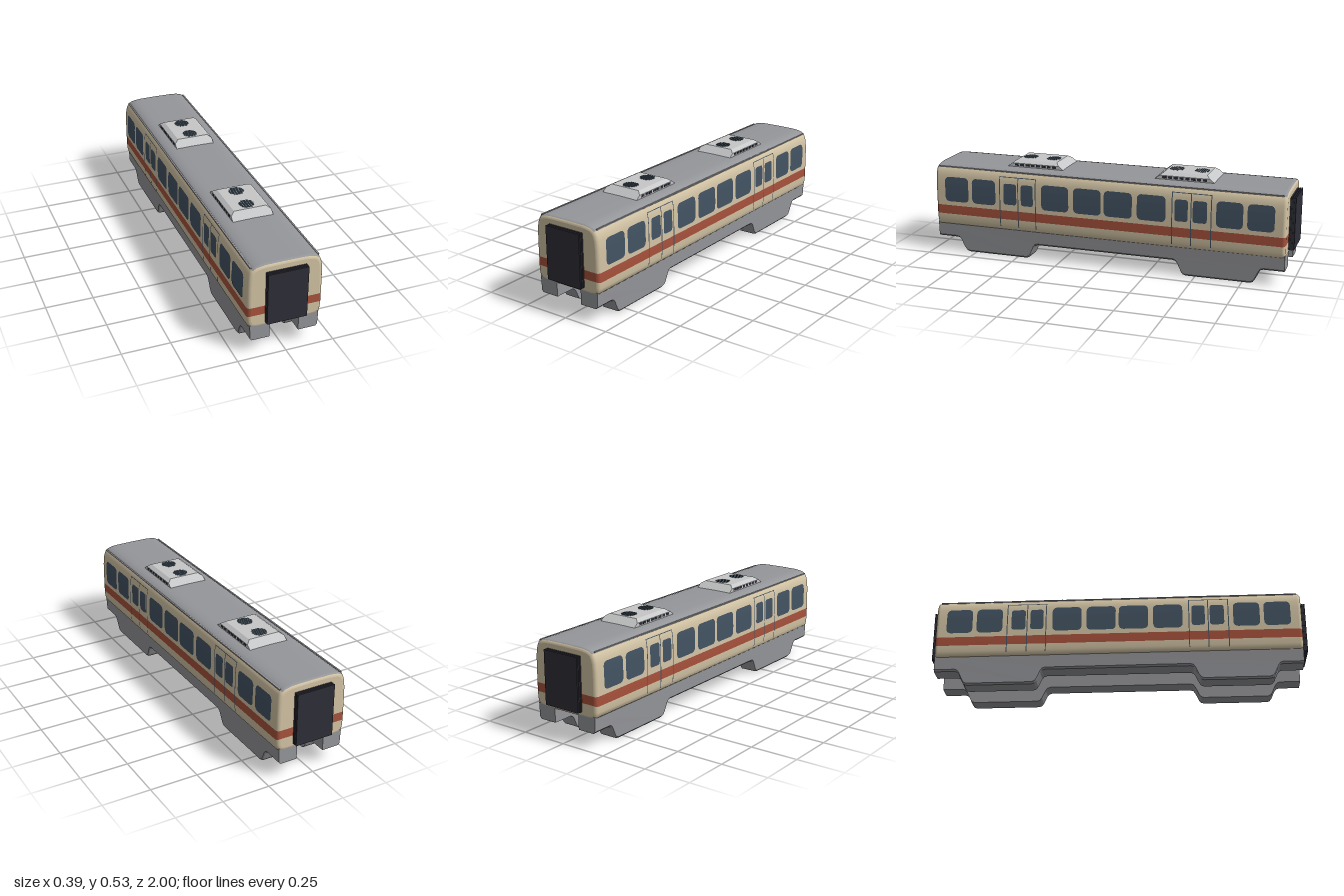
import * as THREE from 'three';

const material = (name, color) => {
  const m = new THREE.MeshStandardMaterial({ color });
  m.name = name;
  return m;
};

// Right half of the body cross-section, bottom centre to top centre
const PROFILE = [
  [0, 0.148], [0.15, 0.148], [0.172, 0.152], [0.185, 0.163], [0.19, 0.185], [0.192, 0.218],
  [0.192, 0.267], [0.192, 0.34], [0.191, 0.39], [0.188, 0.43], [0.182, 0.455], [0.172, 0.476],
  [0.155, 0.487], [0.13, 0.493], [0.1, 0.496], [0, 0.497],
];

// Half-width of the body at height y
function bodyX(y) {
  for (let i = 1; i < PROFILE.length; i++) {
    const [x0, y0] = PROFILE[i - 1], [x1, y1] = PROFILE[i];
    if (y <= y1 && y1 > y0) return x0 + (x1 - x0) * (y - y0) / (y1 - y0);
  }
  return 0;
}

// Body shell: cross-section lofted along z with rounded ends; groups 0 cream, 1 stripe, 2 roof
function bodyGeometry() {
  const loop = [...PROFILE, ...PROFILE.slice(1, -1).reverse().map(([x, y]) => [-x, y])];
  const r = 0.018, half = 0.97, rings = [];
  for (let k = 0; k <= 4; k++) {
    const a = (k / 4) * Math.PI / 2;
    rings.push([half - r + r * Math.sin(a), r * (1 - Math.cos(a))]);
  }
  const all = [...rings.map(([z, s]) => [-z, s]).reverse(), ...rings];
  const place = ([x, y], [z, s]) => {
    const d = (y - 0.3225) / 0.1745;
    return [x * (1 - s / 0.192), y - s * d ** 3, z];
  };
  const pos = [], faces = [[], [], []], n = loop.length;
  const band = y => (y > 0.218 && y < 0.267 ? 1 : 0);
  all.forEach(ring => loop.forEach(p => pos.push(...place(p, ring))));
  for (let j = 0; j < all.length - 1; j++) {
    const zMid = Math.abs(all[j][0] + all[j + 1][0]) / 2;
    for (let i = 0; i < n; i++) {
      const k = (i + 1) % n, y = (loop[i][1] + loop[k][1]) / 2;
      const a = j * n + i, b = j * n + k, c = b + n, d = a + n;
      faces[y > 0.476 && zMid < 0.964 ? 2 : band(y)].push(a, b, c, a, c, d);
    }
  }
  // Flat end walls
  for (const ring of [all[0], all[all.length - 1]]) {
    for (let i = 0; i < PROFILE.length - 1; i++) {
      const [x0, y0] = PROFILE[i], [x1, y1] = PROFILE[i + 1], a = pos.length / 3;
      for (const p of [[-x0, y0], [x0, y0], [x1, y1], [-x1, y1]]) pos.push(...place(p, ring));
      const f = ring[0] > 0 ? [0, 1, 2, 0, 2, 3] : [0, 2, 1, 0, 3, 2];
      faces[band((y0 + y1) / 2)].push(...f.map(v => v + a));
    }
  }
  const g = new THREE.BufferGeometry();
  g.setAttribute('position', new THREE.Float32BufferAttribute(pos, 3));
  g.setIndex(faces.flat());
  let start = 0;
  faces.forEach((f, i) => { g.addGroup(start, f.length, i); start += f.length; });
  g.computeVertexNormals();
  return g;
}

// Thin panel hugging the +x side wall, with rounded corners
function sidePanel(z0, z1, y0, y1, radius = 0) {
  const w = Math.abs(z1 - z0), h = y1 - y0;
  const g = new THREE.PlaneGeometry(w, h, 1, 18), p = g.attributes.position;
  for (let i = 0; i < p.count; i++) {
    const y = Math.sin(p.getY(i) / h * Math.PI) * h / 2;
    const over = Math.max(0, Math.abs(y) - (h / 2 - radius));
    const cut = radius - Math.sqrt(Math.max(0, radius * radius - over * over));
    const x = Math.sign(p.getX(i)) * (w / 2 - cut), yy = (y0 + y1) / 2 + y;
    p.setXYZ(i, bodyX(yy) + 0.002, yy, (z0 + z1) / 2 - x);
  }
  g.computeVertexNormals();
  return g;
}

// Underfloor skirt on the +x side: deep at the bogies, shallow elsewhere
function skirtGeometry() {
  const half = [[0.38, 0.08], [0.395, 0.075], [0.405, 0.062], [0.425, 0.018], [0.435, 0.005], [0.45, 0],
    [0.79, 0], [0.805, 0.005], [0.815, 0.018], [0.835, 0.062], [0.845, 0.075], [0.86, 0.08], [0.968, 0.08], [0.968, 0.165]];
  const outline = [...half.map(([z, y]) => [-z, y]).reverse(), ...half];
  const shape = new THREE.Shape(outline.map(([z, y]) => new THREE.Vector2(z, y)));
  let g = new THREE.ExtrudeGeometry(shape, { depth: 2, steps: 2, bevelEnabled: false });
  g.rotateY(Math.PI / 2);
  const p = g.attributes.position;
  for (let i = 0; i < p.count; i++) {
    const step = Math.round(p.getX(i)), y = p.getY(i), outer = 0.172 + y * 0.04;
    p.setX(i, [0.075, outer - 0.009, outer][step]);
    if (step === 2 && y < 0.1) p.setY(i, y + 0.009);
  }
  g.computeVertexNormals();
  return g;
}

// Roof unit housing with chamfered shoulders and sloping ends
function roofUnitGeometry() {
  const pts = [[-0.107, 0], [0.107, 0], [0.107, 0.02], [0.085, 0.035], [-0.085, 0.035], [-0.107, 0.02]];
  const shape = new THREE.Shape(pts.map(([x, y]) => new THREE.Vector2(x, y)));
  const g = new THREE.ExtrudeGeometry(shape, { depth: 1, bevelEnabled: false });
  const p = g.attributes.position;
  for (let i = 0; i < p.count; i++) {
    const reach = 0.16 - 0.045 * p.getY(i) / 0.035;
    p.setZ(i, p.getZ(i) > 0.5 ? reach : -reach);
  }
  g.computeVertexNormals();
  return g;
}

export function createModel() {
  const cream = material('cream paint', 0xd3c4a5);
  const red = material('red stripe', 0xa8523c);
  const grey = material('grey roof and skirt', 0x95969a);
  const light = material('light grey housing', 0xc6c7c8);
  const glass = material('window glass', 0x435362);
  const dark = material('dark rubber', 0x2e2e38);

  const model = new THREE.Group();
  model.name = 'railCar';
  const add = (parent, name, geometry, mat, x = 0, y = 0, z = 0) => {
    const mesh = new THREE.Mesh(geometry, mat);
    mesh.name = name;
    mesh.position.set(x, y, z);
    parent.add(mesh);
    return mesh;
  };
  const box = (parent, name, mat, w, h, d, x, y, z) =>
    add(parent, name, new THREE.BoxGeometry(w, h, d), mat, x, y, z);

  add(model, 'body', bodyGeometry(), [cream, red, grey]);

  // Both sides are alike: build one and turn the other half a turn
  const windows = [[0.912, 0.773], [0.751, 0.612], [0.345, 0.19], [0.163, 0.008]];
  const doorWindows = [[0.564, 0.489], [0.463, 0.393]];
  for (const turn of [0, Math.PI]) {
    const side = new THREE.Group();
    side.name = turn ? 'rightSide' : 'leftSide';
    side.rotation.y = turn;
    model.add(side);
    add(side, 'skirt', skirtGeometry(), grey);
    box(side, 'gutter', grey, 0.008, 0.006, 1.9, 0.171, 0.479, 0);
    for (const s of [1, -1]) {
      for (const [a, b] of windows) add(side, 'window', sidePanel(a * s, b * s, 0.29, 0.428, 0.024), glass);
      for (const [a, b] of doorWindows) add(side, 'doorWindow', sidePanel(a * s, b * s, 0.302, 0.418, 0.014), glass);
      for (const z of [0.586, 0.48, 0.379])
        add(side, 'doorSeam', sidePanel(z * s - 0.0025, z * s + 0.0025, 0.175, 0.455), glass);
      add(side, 'doorTopSeam', sidePanel(0.586 * s, 0.379 * s, 0.451, 0.455), glass);
    }
  }

  // End gangways with bellows folds, and the bogie beams beneath the floor
  for (const s of [1, -1]) {
    const gangway = new THREE.Group();
    gangway.name = s > 0 ? 'frontGangway' : 'backGangway';
    model.add(gangway);
    box(gangway, 'bellows', dark, 0.2, 0.272, 0.036, 0, 0.316, s * 0.98);
    for (const z of [0.975, 0.986, 0.9965])
      box(gangway, 'bellowsFold', dark, 0.206, 0.278, 0.007, 0, 0.316, s * z);
    box(model, 'bogieBeam', dark, 0.086, 0.03, 0.36, 0, 0.145, s * 0.62);
  }

  // Roof units with side vents and round fan grilles
  for (const z of [0.41, -0.42]) {
    const unit = new THREE.Group();
    unit.name = 'roofUnit';
    unit.position.set(0, 0.495, z);
    model.add(unit);
    add(unit, 'housing', roofUnitGeometry(), light);
    for (const s of [1, -1]) {
      for (let i = -3.5; i <= 3.5; i++)
        box(unit, 'sideVent', dark, 0.003, 0.012, 0.022, s * 0.107, 0.0115, i * 0.031);
      for (let i = -3; i <= 3; i++) {
        const dz = i * 0.0105;
        box(unit, 'fanSlat', glass, 2 * Math.sqrt(0.038 ** 2 - dz * dz), 0.003, 0.006, 0, 0.0355, s * 0.068 + dz);
      }
    }
  }
  return model;
}
